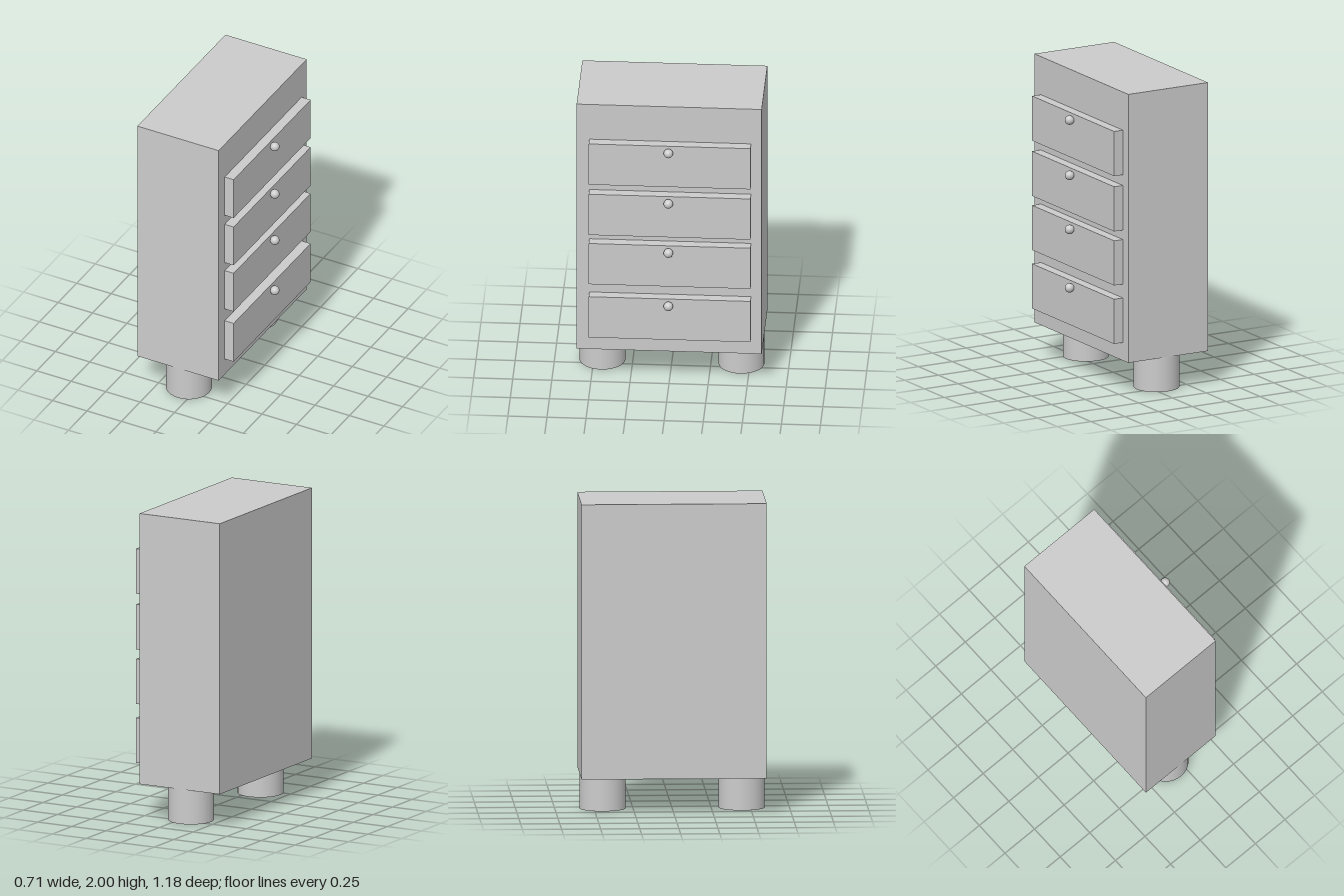
import * as THREE from 'three';

export function createModel() {
  const group = new THREE.Group();
  const material = new THREE.MeshStandardMaterial({ color: 0xcccccc });

  const add = (name, geometry, x, y, z) => {
    const mesh = new THREE.Mesh(geometry, material);
    mesh.name = name;
    mesh.position.set(x, y, z);
    group.add(mesh);
  };

  // Cabinet body
  add('cabinetBody', new THREE.BoxGeometry(0.59, 1.773, 1.184), -0.06, 1.1135, 0);

  // Drawer fronts on the +x side, each with a round knob near its top edge
  const drawerGeometry = new THREE.BoxGeometry(0.085, 0.295, 1.035);
  const knobGeometry = new THREE.SphereGeometry(0.03, 32, 16);
  [0.493, 0.879, 1.236, 1.601].forEach((y, i) => {
    add(`drawer${i + 1}`, drawerGeometry, 0.2575, y, -0.007);
    add(`knob${i + 1}`, knobGeometry, 0.323, y + 0.107, 0);
  });

  // Two cylindrical feet, one under each end
  const footGeometry = new THREE.CylinderGeometry(0.147, 0.147, 0.23, 32);
  for (const side of [-1, 1]) {
    add(side > 0 ? 'frontFoot' : 'backFoot', footGeometry, -0.06, 0.115, side * 0.445);
  }

  return group;
}
